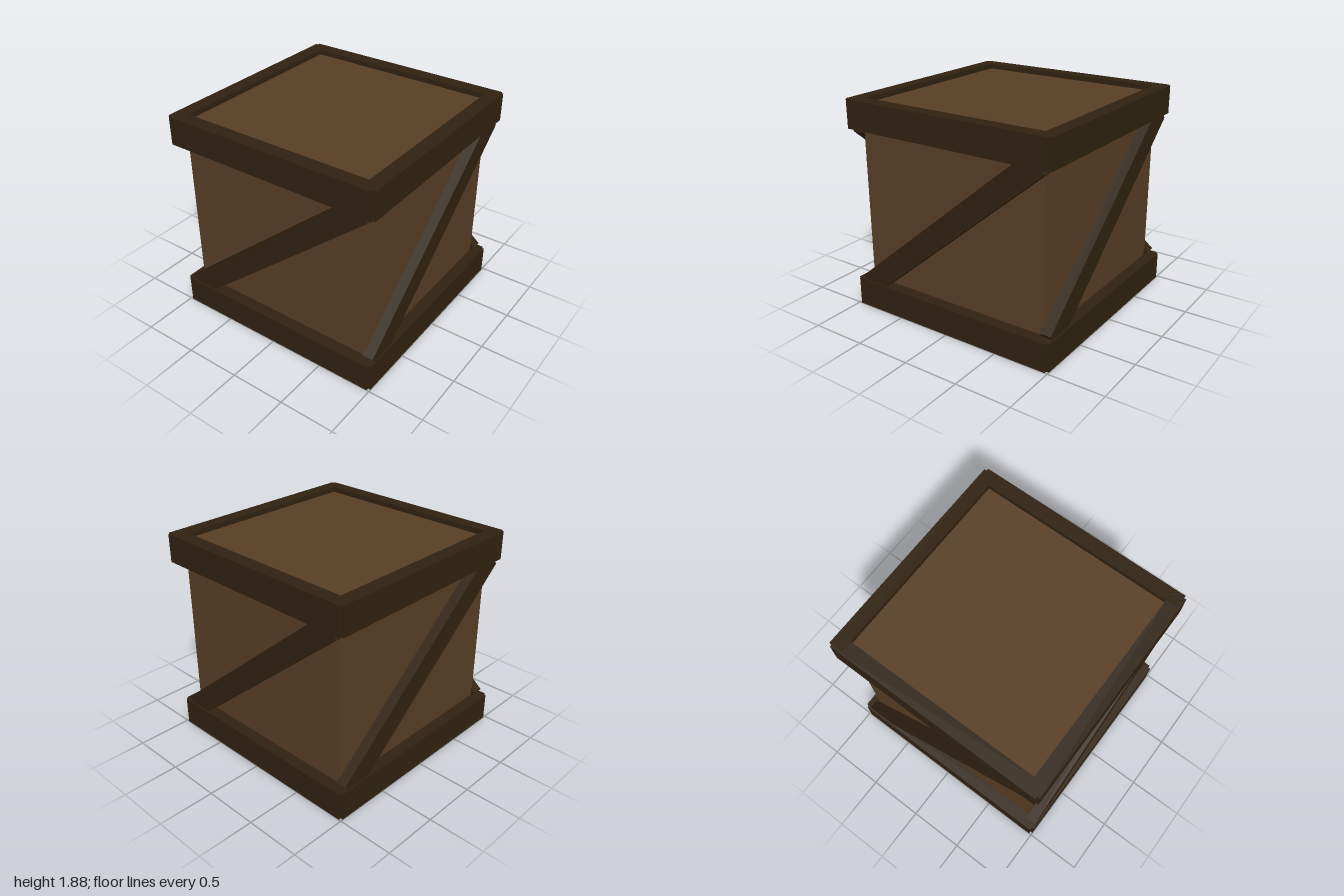
import * as THREE from 'three';

const MID = 0.94;   // height of the crate's centre

export function createModel() {
  const crate = new THREE.Group();
  crate.name = 'crate';

  const panelWood = new THREE.MeshStandardMaterial({ color: 0x583e25 });
  panelWood.name = 'panelWood';
  const frameWood = new THREE.MeshStandardMaterial({ color: 0x302211 });
  frameWood.name = 'frameWood';

  const addBox = (parent, name, size, position, material) => {
    const mesh = new THREE.Mesh(new THREE.BoxGeometry(...size), material);
    mesh.name = name;
    mesh.position.set(...position);
    parent.add(mesh);
    return mesh;
  };

  // Inner box, slightly recessed inside the top and bottom frames
  addBox(crate, 'panels', [1.79, 1.79, 1.79], [0, MID, 0], panelWood);

  // Each side carries two rails and a diagonal brace
  ['front', 'left', 'back', 'right'].forEach((name, i) => {
    const side = new THREE.Group();
    side.name = name + 'Side';
    side.rotation.y = i * Math.PI / 2;
    // Rails stop just short of the corners, leaving a small notch
    addBox(side, 'topRail', [1.954, 0.25, 0.126], [0, 1.755, 0.937], frameWood);
    addBox(side, 'bottomRail', [1.954, 0.25, 0.126], [0, 0.125, 0.937], frameWood);
    const brace = addBox(side, 'brace', [2.276, 0.2, 0.1], [0, MID, 0.935], frameWood);
    brace.rotation.z = THREE.MathUtils.degToRad(40);
    crate.add(side);
  });

  return crate;
}
